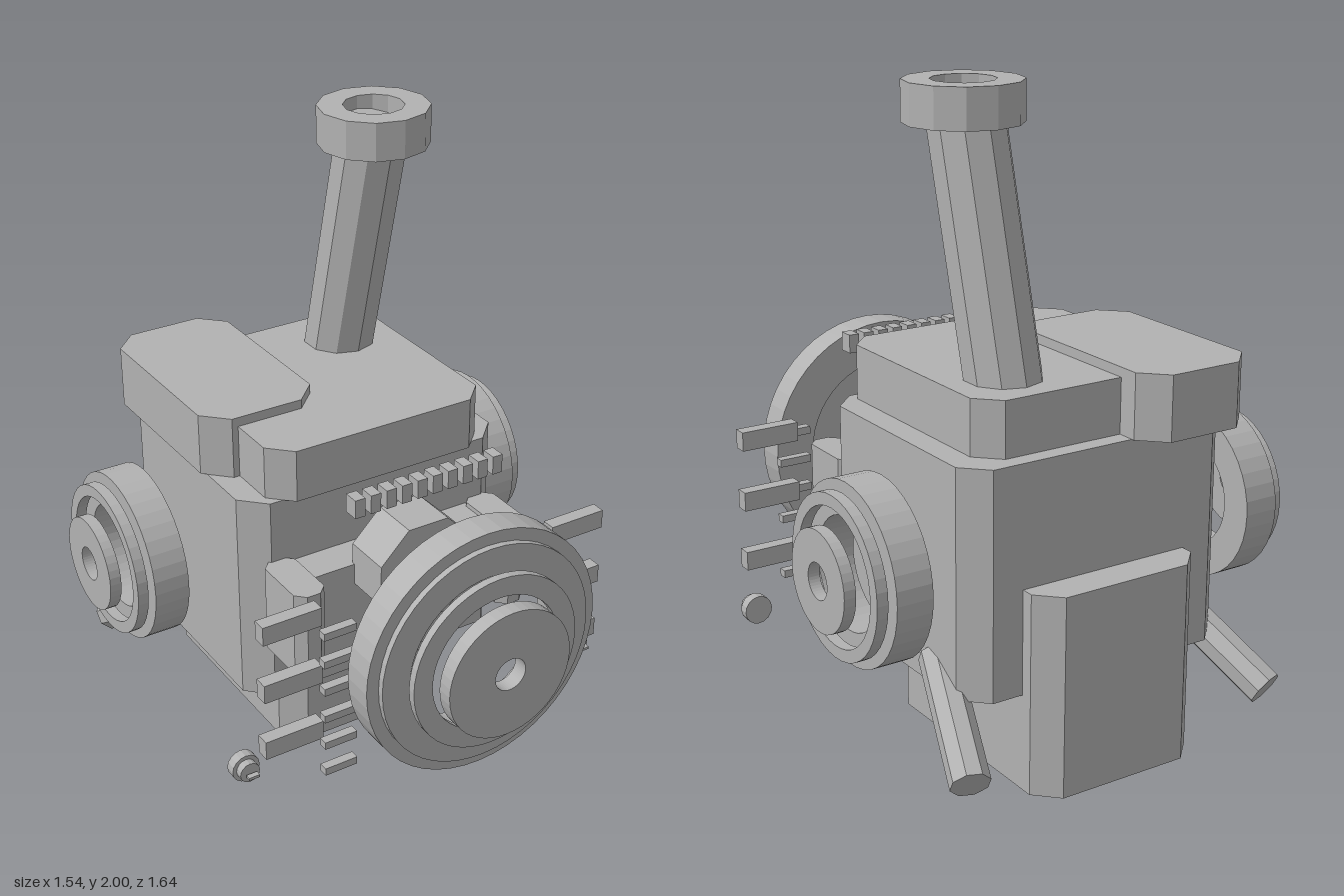
import * as THREE from 'three';

export function createModel() {
  const model = new THREE.Group();
  model.name = 'boilerMachine';
  const grey = new THREE.MeshStandardMaterial({ color: 0xb2b2b2, flatShading: true });
  grey.name = 'plain grey';

  const add = (name, geometry, x = 0, y = 0, z = 0, parent = model) => {
    const mesh = new THREE.Mesh(geometry, grey);
    mesh.name = name;
    mesh.position.set(x, y, z);
    parent.add(mesh);
    return mesh;
  };

  // Upright block with chamfered vertical corners, given by its limits
  const block = (name, x0, x1, y0, y1, z0, z1, c) => {
    const s = new THREE.Shape();
    s.moveTo(x0 + c, -z1);
    s.lineTo(x1 - c, -z1);
    s.lineTo(x1, -z1 + c);
    s.lineTo(x1, -z0 - c);
    s.lineTo(x1 - c, -z0);
    s.lineTo(x0 + c, -z0);
    s.lineTo(x0, -z0 - c);
    s.lineTo(x0, -z1 + c);
    s.closePath();
    const g = new THREE.ExtrudeGeometry(s, { depth: y1 - y0, bevelEnabled: false });
    g.rotateX(-Math.PI / 2);
    return add(name, g, 0, y0, 0);
  };

  // Ring from height a to b along its own y axis
  const ring = (outer, inner, a, b, sides = 40) =>
    new THREE.LatheGeometry(
      [[inner, a], [outer, a], [outer, b], [inner, b], [inner, a]].map(p => new THREE.Vector2(...p)),
      sides
    );

  // Solid rod between two points
  const rod = (name, from, to, radius, sides) => {
    const a = new THREE.Vector3(...from), b = new THREE.Vector3(...to);
    const d = b.clone().sub(a);
    const mesh = add(name, new THREE.CylinderGeometry(radius, radius, d.length(), sides));
    mesh.position.copy(a).add(b).multiplyScalar(0.5);
    mesh.quaternion.setFromUnitVectors(new THREE.Vector3(0, 1, 0), d.normalize());
    return mesh;
  };

  // Main masses
  block('mainBody', -0.46, 0.46, 0.3, 1.0, -0.665, 0.13, 0.075);
  block('upperDeck', -0.38, 0.38, 1.0, 1.17, -0.61, 0.16, 0.07);
  block('rearTopBox', -0.475, -0.085, 1.0, 1.2, -0.75, -0.065, 0.075);
  block('baseTank', -0.285, 0.285, 0, 0.625, -0.775, 0.04, 0.07);

  // Front mount with its side brackets and hub
  block('frontMount', -0.325, 0.325, 0.4, 0.78, 0.12, 0.25, 0.01);
  for (const s of [-1, 1]) {
    block('frontBracket', s * 0.3675 - 0.0525, s * 0.3675 + 0.0525, 0.51, 0.795, 0.12, 0.35, 0.03);
  }
  const hub = new THREE.CylinderGeometry(0.18, 0.18, 0.16, 8);
  hub.rotateY(Math.PI / 8).rotateX(Math.PI / 2);
  add('frontHub', hub, 0, 0.78, 0.32);

  // Leaning chimney with a ring cap
  rod('chimney', [0.192, 1.1, -0.44], [0.233, 1.94, -0.28], 0.116, 10);
  add('chimneyCap', ring(0.175, 0.095, 1.88, 2.0, 12), 0.233, 0, -0.28);

  // Stepped front wheel
  const front = new THREE.Group();
  front.name = 'frontWheel';
  front.position.set(0, 0.665, 0);
  front.rotation.x = Math.PI / 2;
  model.add(front);
  for (const [name, outer, inner, a, b] of [
    ['frontRim', 0.403, 0.27, 0.595, 0.695],
    ['frontPlate', 0.363, 0.27, 0.695, 0.715],
    ['frontInnerRing', 0.286, 0.222, 0.735, 0.76],
    ['frontCentreDisc', 0.212, 0.053, 0.78, 0.83],
  ]) add(name, ring(outer, inner, a, b, 48), 0, 0, 0, front);

  for (const s of [-1, 1]) {
    // Side wheel
    const wheel = new THREE.Group();
    wheel.name = 'sideWheel';
    wheel.position.set(0, 0.655, -0.36);
    wheel.rotation.z = -s * Math.PI / 2;
    model.add(wheel);
    for (const [name, outer, inner, a, b] of [
      ['sideRim', 0.275, 0.17, 0.56, 0.675],
      ['sideRing', 0.245, 0.207, 0.685, 0.72],
      ['sideCentreDisc', 0.153, 0.055, 0.733, 0.77],
    ]) add(name, ring(outer, inner, a, b), 0, 0, 0, wheel);

    // Rear pipe, sloping out, down and back
    rod('rearPipe', [s * 0.42, 0.37, -0.43], [s * 0.535, 0.145, -0.78], 0.06, 8);

    // Side slats and small pegs
    for (const y of [0.805, 0.603, 0.4]) {
      add('sideSlat', new THREE.BoxGeometry(0.195, 0.062, 0.045), s * 0.51, y, 0.448);
    }
    for (let i = 0; i < 6; i++) {
      add('sidePeg', new THREE.BoxGeometry(0.11, 0.025, 0.03), s * 0.385, 0.775 - i * 0.097, 0.513);
    }

    // Small lamp
    for (const [name, r, depth, z] of [['lampBase', 0.046, 0.034, 0.347], ['lampLens', 0.033, 0.026, 0.376]]) {
      add(name, new THREE.CylinderGeometry(r, r, depth, 16).rotateX(Math.PI / 2), s * 0.62, 0.27, z);
    }
    add('lampBar', new THREE.BoxGeometry(0.036, 0.009, 0.018), s * 0.62, 0.27, 0.407);
  }

  // Row of teeth above the front wheel
  for (let i = 0; i < 10; i++) {
    add('tooth', new THREE.BoxGeometry(0.034, 0.06, 0.05), -0.247 + i * 0.0535, 1.085, 0.388);
  }

  return model;
}
